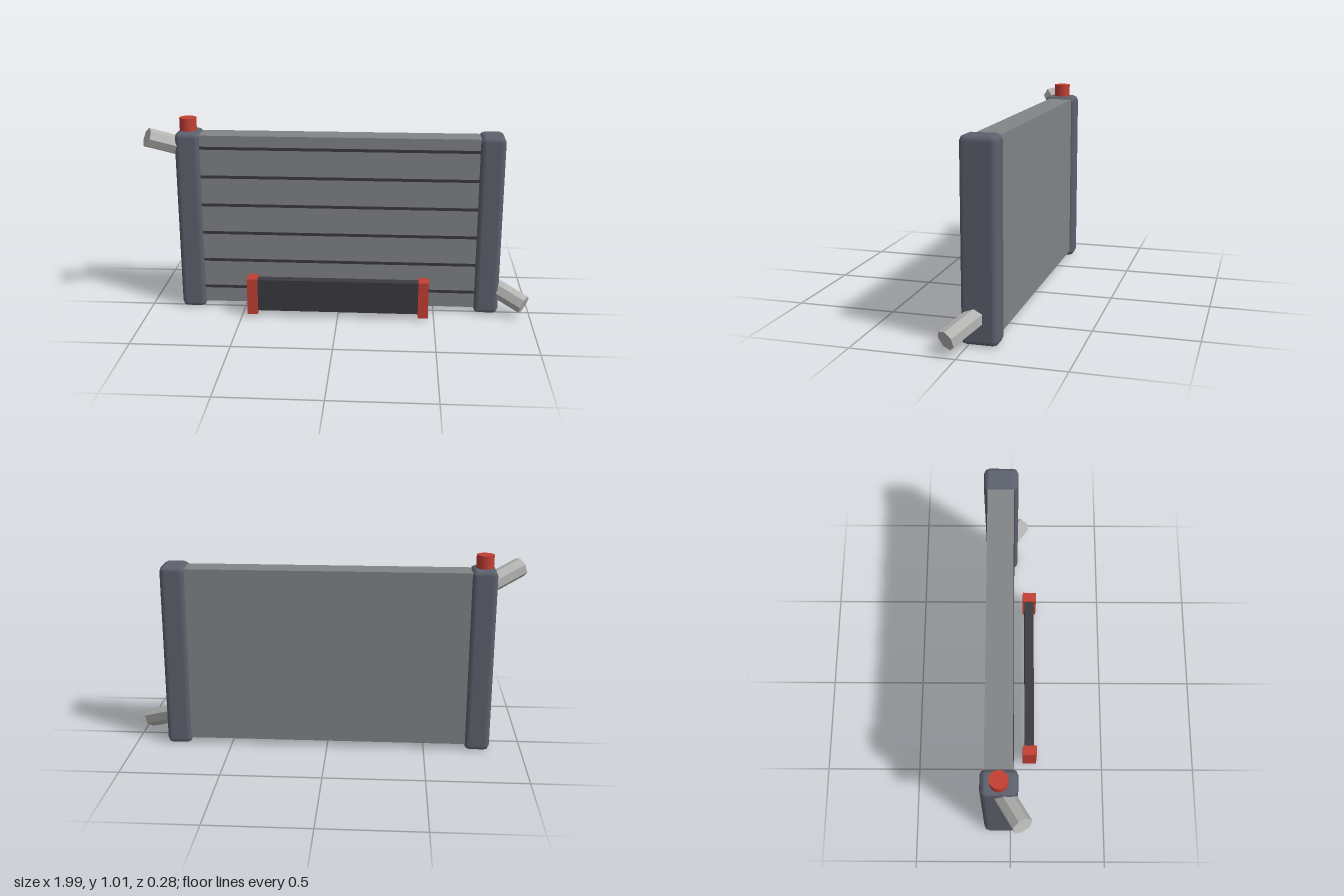
import * as THREE from 'three';
import { RoundedBoxGeometry } from 'three/addons/geometries/RoundedBoxGeometry.js';

const material = (name, color, flatShading = false) => {
  const m = new THREE.MeshStandardMaterial({ color });
  m.name = name;
  m.flatShading = flatShading;
  return m;
};

export function createModel() {
  const model = new THREE.Group();
  model.name = 'radiator';

  const coreGrey = material('coreGrey', 0x828487);
  const tankGrey = material('tankGrey', 0x5e626e);
  const pipeGrey = material('pipeGrey', 0xb6b6b4, true);
  const darkGrey = material('darkGrey', 0x3b3b40);
  const red = material('red', 0xc44034);

  const add = (name, geometry, mat, x, y, z) => {
    const mesh = new THREE.Mesh(geometry, mat);
    mesh.name = name;
    mesh.position.set(x, y, z);
    model.add(mesh);
    return mesh;
  };
  const box = (name, mat, w, h, d, x, y, z) =>
    add(name, new THREE.BoxGeometry(w, h, d), mat, x, y, z);

  // Flat cooling core with dark grooves painted on the front
  const coreFront = 0.012;
  box('core', coreGrey, 1.5, 0.905, 0.132, 0, 0.4825, coreFront - 0.066);
  for (let i = 0; i < 6; i++) {
    box('coreStripe', darkGrey, 1.43, 0.015, 0.006, 0, 0.115 + i * 0.151, coreFront);
  }

  // Rounded side tanks
  for (const side of [-1, 1]) {
    add('sideTank', new RoundedBoxGeometry(0.128, 0.95, 0.175, 1, 0.028), tankGrey,
      side * 0.774, 0.475, -0.052);
  }

  // Filler cap on the right tank
  add('fillerCap', new THREE.CylinderGeometry(0.044, 0.044, 0.09, 16), red, -0.778, 0.97, -0.052);

  // Seven-sided hose pipes, one high and one low, angled outward and forward
  const pipeLength = 0.24;
  for (const side of [-1, 1]) {
    const axis = new THREE.Vector3(side, -side * 0.42, 0.57);
    // The high pipe rises outward, the low one drops
    axis.y = side < 0 ? 0.42 : -0.42;
    axis.normalize();
    const corner = new THREE.Vector3(-side * axis.z, 0, Math.abs(axis.x)).normalize();
    const across = new THREE.Vector3().crossVectors(axis, corner);
    const end = new THREE.Vector3(side * 0.967, side < 0 ? 0.932 : 0.068, 0.055);
    const centre = end.addScaledVector(axis, -pipeLength / 2);
    const pipe = add(side < 0 ? 'upperPipe' : 'lowerPipe',
      new THREE.CylinderGeometry(0.05, 0.05, pipeLength, 7), pipeGrey,
      centre.x, centre.y, centre.z);
    pipe.quaternion.setFromRotationMatrix(new THREE.Matrix4().makeBasis(across, axis, corner));
  }

  // Small front cooler with red end blocks
  box('frontCooler', darkGrey, 0.84, 0.17, 0.05, 0, 0.115, 0.1);
  for (const side of [-1, 1]) {
    box('coolerEnd', red, 0.053, 0.194, 0.074, side * 0.443, 0.111, 0.102);
  }

  return model;
}
